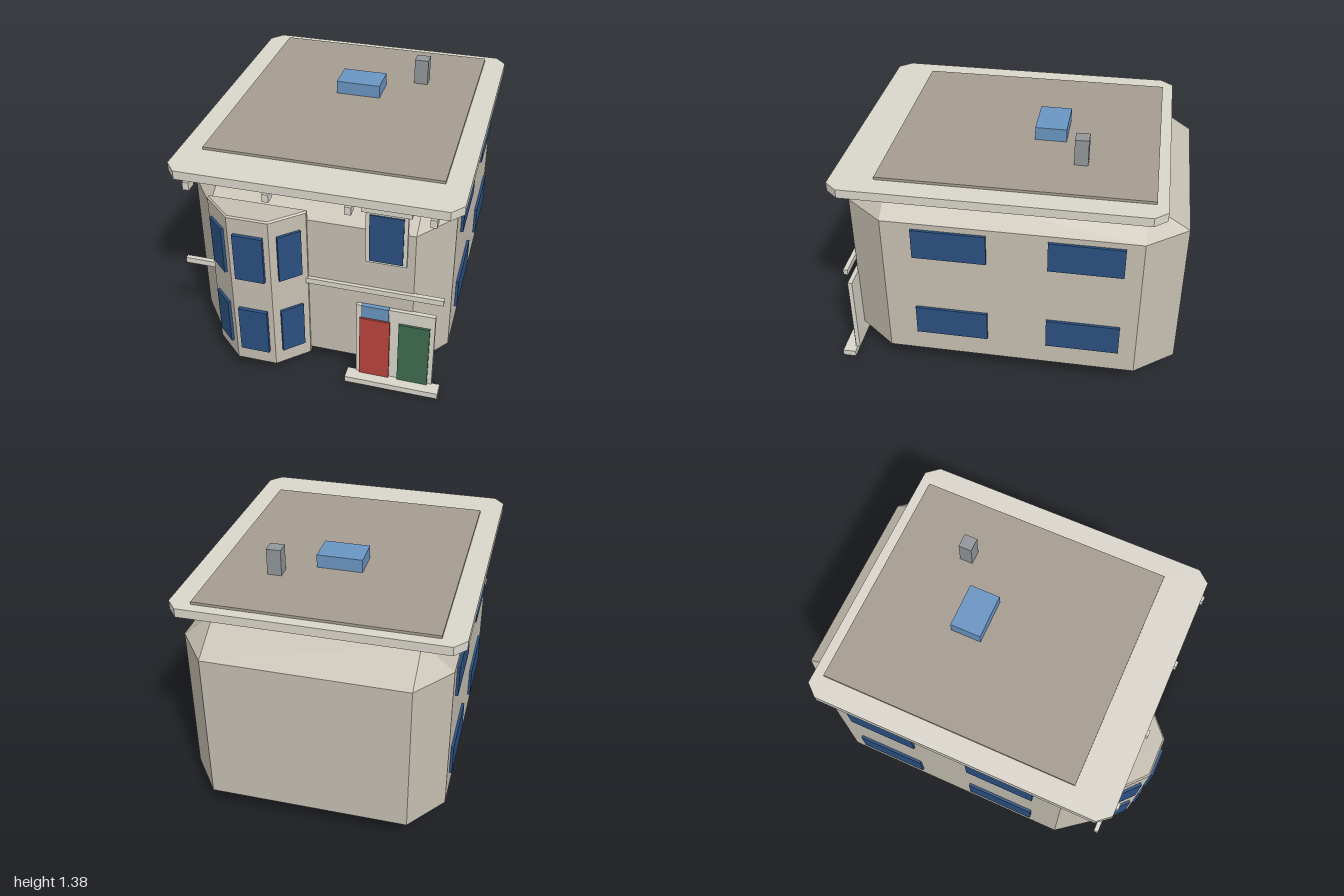
import * as THREE from 'three';
import { ConvexGeometry } from 'three/addons/geometries/ConvexGeometry.js';

const mat = (color) => new THREE.MeshStandardMaterial({ color, flatShading: true });

export function createModel() {
  const house = new THREE.Group();
  house.name = 'house';
  const wall = mat(0xc6bfb2), trim = mat(0xdad6cc), roofing = mat(0xa59d91);
  const glass = mat(0x2b5080), paleGlass = mat(0x6a95c2), metal = mat(0x92979b);
  const red = mat(0xb8443c), green = mat(0x3f6b50);

  const add = (name, geometry, material) => {
    const mesh = new THREE.Mesh(geometry, material);
    mesh.name = name;
    house.add(mesh);
    return mesh;
  };
  // Box given by its extents on each axis
  const box = (name, material, [x0, x1], [y0, y1], [z0, z1]) => {
    const mesh = add(name, new THREE.BoxGeometry(x1 - x0, y1 - y0, z1 - z0), material);
    mesh.position.set((x0 + x1) / 2, (y0 + y1) / 2, (z0 + z1) / 2);
    return mesh;
  };
  // Plan outline (x, -z) extruded upwards
  const slab = (name, material, plan, y0, y1, bevel = 0) => {
    const shape = new THREE.Shape(plan.map(([x, z]) => new THREE.Vector2(x, -z)));
    const geometry = new THREE.ExtrudeGeometry(shape, {
      depth: y1 - y0 - 2 * bevel, bevelEnabled: bevel > 0, bevelSize: bevel,
      bevelOffset: -bevel, bevelThickness: bevel, bevelSegments: 1,
    });
    geometry.rotateX(-Math.PI / 2).translate(0, y0 + bevel, 0);
    return add(name, geometry, material);
  };

  // Main body: a box with wide chamfers on every edge
  const half = [0.715, 0.5725, 0.915], inner = [0.545, 0.435, 0.695];
  const points = [];
  for (const sx of [-1, 1]) for (const sy of [-1, 1]) for (const sz of [-1, 1]) {
    for (let axis = 0; axis < 3; axis++) {
      const p = inner.map((v, i) => (i === axis ? half[i] : v));
      points.push(new THREE.Vector3(sx * p[0], sy * p[1] + 0.5725, sz * p[2] - 0.085));
    }
  }
  add('body', new ConvexGeometry(points), wall);

  // Flat roof with clipped corners, roof covering, skylight and chimney
  const X = 0.77, Z = 0.875, c = 0.06, d = 0.07;
  slab('roofSlab', trim, [
    [-X + c, Z], [X - c, Z], [X, Z - d], [X, -Z + d],
    [X - c, -Z], [-X + c, -Z], [-X, -Z + d], [-X, Z - d],
  ], 1.165, 1.215);
  box('roofCovering', roofing, [-0.645, 0.645], [1.21, 1.23], [-0.815, 0.64]);
  box('skylight', paleGlass, [-0.13, 0.125], [1.23, 1.305], [-0.305, -0.13]);
  box('chimney', metal, [0.28, 0.36], [1.23, 1.38], [-0.445, -0.37]);

  // Brackets under the eaves
  for (let i = 0; i < 4; i++) {
    const x = -0.64 + i * 0.425;
    box('eavesBracket', trim, [x - 0.017, x + 0.017], [1.12, 1.165], [0.83, 0.89]);
  }

  // Two-storey bay with canted sides
  const bayX = -0.285;
  slab('bay', wall, [
    [bayX - 0.265, 0.82], [bayX + 0.265, 0.82], [bayX + 0.265, 0.842],
    [bayX + 0.11, 0.98], [bayX - 0.11, 0.98], [bayX - 0.265, 0.842],
  ], 0.1, 1.065, 0.008);
  for (const y of [0.2, 0.685]) {
    box('bayFrontWindow', glass, [bayX - 0.08, bayX + 0.08], [y, y + 0.28], [0.97, 1.0]);
    for (const side of [-1, 1]) {
      const pane = add('baySideWindow', new THREE.BoxGeometry(0.13, 0.28, 0.03), glass);
      pane.position.set(bayX + side * 0.189, y + 0.14, 0.909);
      pane.rotation.y = side * 0.74;
    }
  }

  // Windows in both side walls
  for (const side of [-1, 1]) for (const y of [0.27, 0.795]) for (const z of [0.243, -0.486]) {
    const pane = add('sideWindow', new THREE.BoxGeometry(0.03, 0.178, 0.402), glass);
    pane.position.set(side * 0.715, y + 0.089, z);
  }

  // Upper front window with frame and lintel
  box('upperWindowFrame', trim, [0.29, 0.505], [0.815, 1.13], [0.825, 0.845]);
  box('upperWindow', glass, [0.31, 0.485], [0.83, 1.112], [0.835, 0.852]);
  box('upperWindowLintel', trim, [0.27, 0.525], [1.13, 1.155], [0.825, 0.86]);

  // String course on either side of the bay
  box('stringCourse', trim, [-0.71, -0.54], [0.61, 0.643], [0.825, 0.85]);
  box('stringCourse', trim, [-0.035, 0.705], [0.61, 0.643], [0.825, 0.85]);

  // Entrance: surround, two doors, transom light and step
  box('doorSurround', trim, [0.245, 0.67], [0.04, 0.52], [0.825, 0.85]);
  box('redDoor', red, [0.265, 0.43], [0.04, 0.44], [0.835, 0.862]);
  box('greenDoor', green, [0.478, 0.645], [0.04, 0.44], [0.835, 0.862]);
  box('transomLight', paleGlass, [0.275, 0.423], [0.447, 0.527], [0.835, 0.86]);
  box('doorStep', trim, [0.195, 0.715], [0.004, 0.04], [0.84, 0.915]);

  return house;
}
